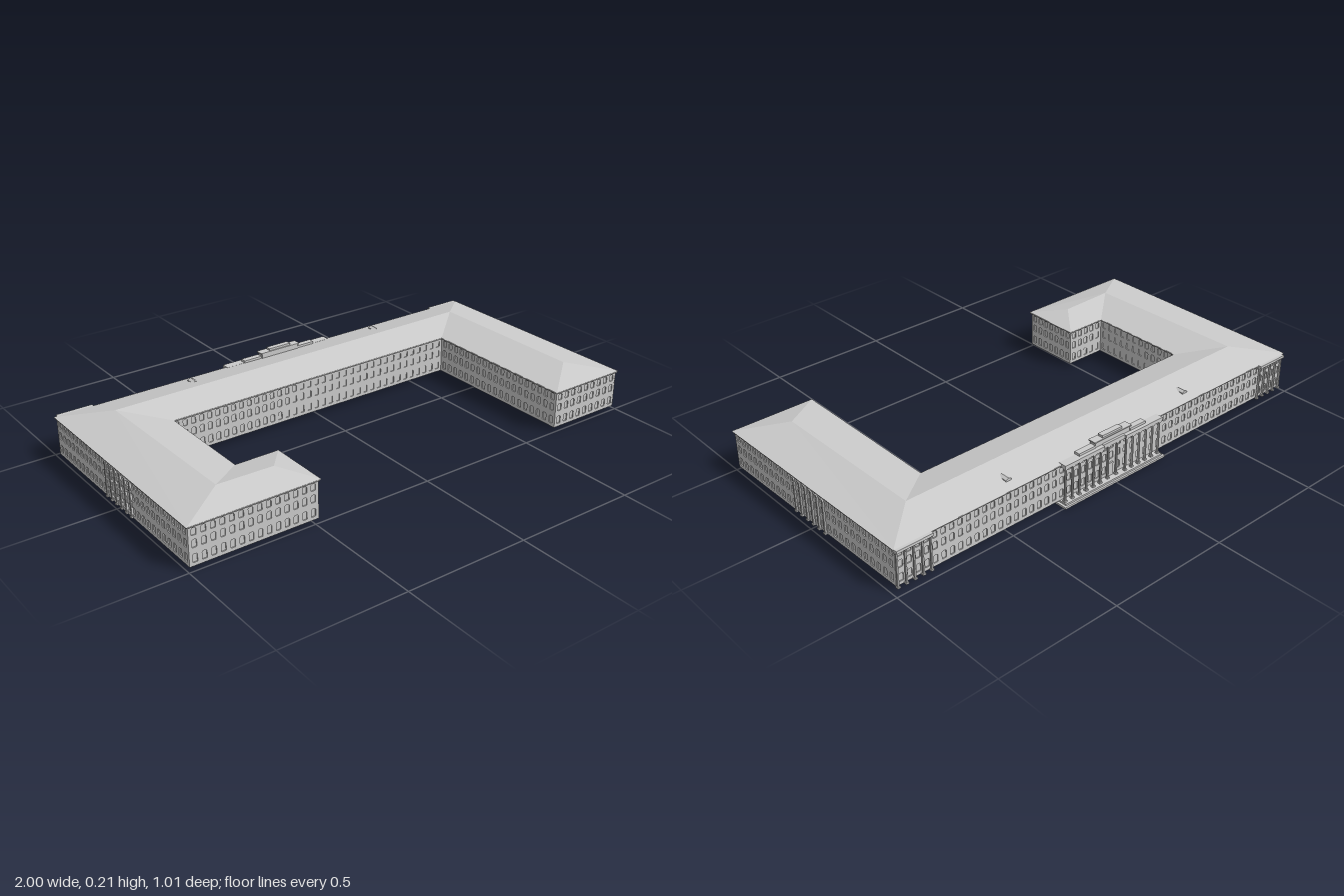
import * as THREE from 'three';

const BASE = 0.015, EAVE = 0.17;
const grey = new THREE.MeshStandardMaterial({ color: 0xcccccc, side: THREE.DoubleSide, flatShading: true });

// Eave outline, clockwise seen from above: [x, z]
const eaves = [[-1, -0.475], [0.985, -0.475], [0.998, 0.5], [0.65, 0.5], [0.65, -0.182],
  [-0.655, -0.182], [-0.655, 0.24], [-0.475, 0.24], [-0.475, 0.5], [-1, 0.5]];
// Ridge ends: [x, z, y]
const ridges = [[-0.82, -0.325, 0.205], [0.82, -0.325, 0.205], [0.825, 0.36, 0.205],
  [-0.81, 0.37, 0.203], [-0.58, 0.37, 0.198]];
const roofFaces = [[0, 1, 11, 10], [1, 2, 12, 11], [2, 3, 12], [3, 4, 11, 12], [4, 5, 10, 11],
  [5, 6, 13, 10], [6, 7, 14, 13], [7, 8, 14], [8, 9, 13, 14], [9, 0, 10, 13]];

function add(parent, name, geometry, x = 0, y = 0, z = 0) {
  const mesh = new THREE.Mesh(geometry, grey);
  mesh.name = name;
  mesh.position.set(x, y, z);
  parent.add(mesh);
  return mesh;
}

// Box given by its min and max on each axis
function block(parent, name, x0, x1, y0, y1, z0, z1) {
  return add(parent, name, new THREE.BoxGeometry(x1 - x0, y1 - y0, z1 - z0),
    (x0 + x1) / 2, (y0 + y1) / 2, (z0 + z1) / 2);
}

// Column with a square foot and head
function column(parent, x, z, top = 0.158, r = 0.005) {
  const g = new THREE.Group();
  g.name = 'column';
  const h = top - BASE;
  add(g, 'shaft', new THREE.CylinderGeometry(r * 0.88, r, h, 10), 0, h / 2, 0);
  for (const y of [0.003, h - 0.003]) add(g, 'columnBlock', new THREE.BoxGeometry(r * 2.5, 0.006, r * 2.5), 0, y, 0);
  g.position.set(x, BASE, z);
  parent.add(g);
}

// Outward normal of the edge p -> q
function outward(p, q) {
  const dx = q[0] - p[0], dz = q[1] - p[1], l = Math.hypot(dx, dz);
  return [dz / l, -dx / l];
}

function inset(points, d) {
  const n = points.length;
  return points.map((p, i) => {
    const a = outward(points[(i + n - 1) % n], p), b = outward(p, points[(i + 1) % n]);
    return [p[0] - d * (a[0] + b[0]), p[1] - d * (a[1] + b[1])];
  });
}

function rectangle(w, y0, y1) {
  return new THREE.Shape([[0, y0], [w, y0], [w, y1], [0, y1]].map(p => new THREE.Vector2(...p)));
}

// Window opening with clipped corners
function windowHole(cx, y0, y1) {
  const w = 0.0092, c = 0.004;
  return new THREE.Path([[cx - w + c / 2, y0], [cx + w - c / 2, y0], [cx + w, y0 + c / 2], [cx + w, y1 - c],
    [cx + w - c, y1], [cx - w + c, y1], [cx - w, y1 - c], [cx - w, y0 + c / 2]].map(p => new THREE.Vector2(...p)));
}

// Wall from p to q with three rows of recessed windows and a cornice
function wall(parent, p, q) {
  const n = outward(p, q), len = Math.hypot(q[0] - p[0], q[1] - p[1]), depth = 0.004;
  const g = new THREE.Group();
  g.name = 'wall';
  const face = rectangle(len, BASE, EAVE - 0.003);
  const bays = Math.max(1, Math.round((len - 0.008) / 0.0357)), step = (len - 0.008) / bays;
  for (let i = 0; i < bays; i++)
    for (const [y0, y1] of [[0.028, 0.06], [0.084, 0.114], [0.13, 0.157]])
      face.holes.push(windowHole(0.004 + (i + 0.5) * step, y0, y1));
  add(g, 'facade', new THREE.ExtrudeGeometry(face, { depth, bevelEnabled: false }));
  add(g, 'windowPanes', new THREE.ShapeGeometry(rectangle(len, BASE, EAVE - 0.003)), 0, 0, -0.0005);
  block(g, 'cornice', -0.003, len + 0.003, 0.163, 0.169, depth - 0.002, depth + 0.005);
  g.position.set(q[0] - n[0] * depth, 0, q[1] - n[1] * depth);
  g.rotation.y = Math.atan2(n[0], n[1]);
  parent.add(g);
}

function roof(parent) {
  const pts = [...eaves.map(([x, z]) => [x, EAVE, z]), ...ridges.map(([x, z, y]) => [x, y, z])];
  const pos = [];
  for (const f of roofFaces)
    for (let i = 1; i < f.length - 1; i++) pos.push(...pts[f[0]], ...pts[f[i + 1]], ...pts[f[i]]);
  const geo = new THREE.BufferGeometry();
  geo.setAttribute('position', new THREE.Float32BufferAttribute(pos, 3));
  geo.computeVertexNormals();
  add(parent, 'hippedRoof', geo);
  // Flat soffit under the roof
  const flat = new THREE.ShapeGeometry(new THREE.Shape(eaves.map(p => new THREE.Vector2(...p))));
  add(parent, 'ceiling', flat.rotateX(Math.PI / 2), 0, EAVE - 0.002, 0);
}

// Small gabled dormer on the rear slope
function dormer(parent, x) {
  const s = new THREE.Shape([[-0.013, 0], [0.013, 0], [0.013, 0.009], [0, 0.015], [-0.013, 0.009]]
    .map(p => new THREE.Vector2(...p)));
  add(parent, 'dormer', new THREE.ExtrudeGeometry(s, { depth: 0.04, bevelEnabled: false }), x, 0.176, -0.435);
}

// Rear entrance: steps, colonnade, entablature and stepped attic
function portico(parent) {
  const g = new THREE.Group();
  g.name = 'portico';
  block(g, 'lowerStep', -0.26, 0.26, 0, 0.008, -0.508, -0.445);
  block(g, 'upperStep', -0.25, 0.25, 0.008, BASE, -0.5, -0.445);
  for (const s of [-1, 1]) {
    block(g, 'entablature', Math.min(s * 0.055, s * 0.25), Math.max(s * 0.055, s * 0.25), 0.158, 0.174, -0.494, -0.46);
    for (let i = 0; i < 6; i++) column(g, s * (0.065 + i * 0.0352), -0.485);
    block(g, 'sideParapet', Math.min(s * 0.09, s * 0.17), Math.max(s * 0.09, s * 0.17), 0.174, 0.184, -0.48, -0.455);
    column(g, s * 0.022, -0.48);
  }
  block(g, 'centreEntablature', -0.055, 0.055, 0.158, 0.176, -0.487, -0.46);
  block(g, 'attic', -0.088, 0.088, 0.174, 0.197, -0.478, -0.45);
  block(g, 'atticCap', -0.094, 0.094, 0.194, 0.199, -0.481, -0.447);
  block(g, 'crest', -0.05, 0.05, 0.199, 0.208, -0.475, -0.452);
  block(g, 'doorway', -0.013, 0.013, BASE, 0.07, -0.474, -0.462);
  parent.add(g);
}

export function createModel() {
  const model = new THREE.Group();
  model.name = 'courtyardBuilding';
  const walls = inset(eaves, 0.007);
  walls.forEach((p, i) => wall(model, p, walls[(i + 1) % walls.length]));
  roof(model);
  portico(model);
  dormer(model, -0.437);
  dormer(model, 0.463);

  for (const s of [-1, 1]) {
    // Column row along each outer flank
    for (let i = 0; i < 6; i++) column(model, s > 0 ? 0.988 : -0.994, 0.105 - i * 0.036, 0.163);
    // Shallow columned bays at the rear corners
    const x0 = s > 0 ? 0.832 : -0.985, x1 = s > 0 ? 0.983 : -0.838;
    block(model, 'cornerBayCornice', x0, x1, 0.159, 0.17, -0.488, -0.46);
    for (let i = 0; i < 5; i++) column(model, x0 + 0.006 + (i / 4) * (x1 - x0 - 0.012), -0.477, 0.16);
  }
  return model;
}
